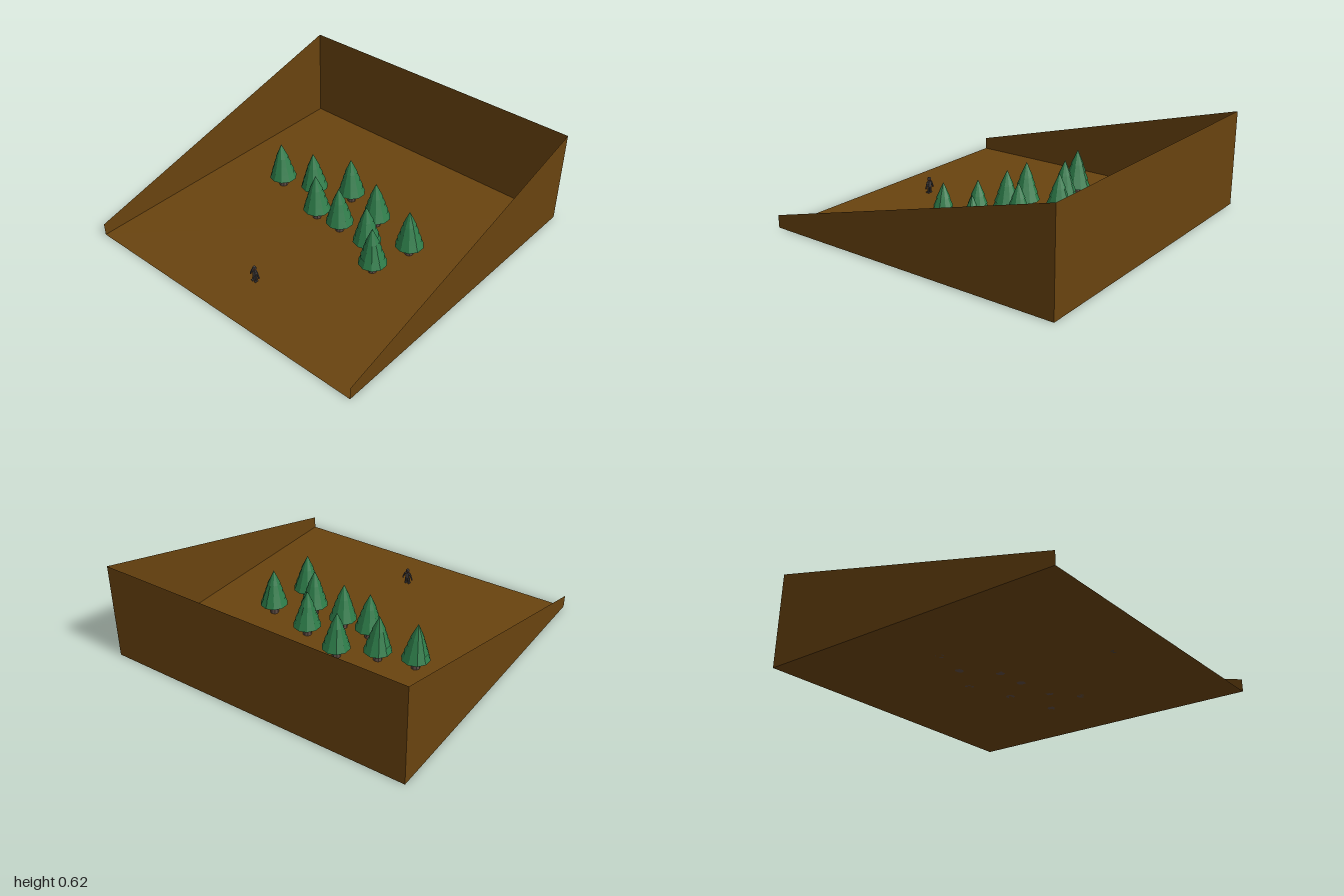
import * as THREE from 'three';

const mat = (name, color, extra = {}) => {
  const m = new THREE.MeshStandardMaterial({ color, flatShading: true, ...extra });
  m.name = name;
  return m;
};

export function createModel() {
  const earth = mat('earth brown', 0x69430f, { side: THREE.DoubleSide });
  const green = mat('pine green', 0x2c7a48);
  const bark = mat('bark', 0x5c4a42);
  const cloth = mat('dark cloth', 0x45403f);
  const skin = mat('skin', 0x60392c);

  const model = new THREE.Group();
  model.name = 'hillsideDiorama';
  const add = (parent, name, geo, material, x = 0, y = 0, z = 0) => {
    const mesh = new THREE.Mesh(geo, material);
    mesh.name = name;
    mesh.position.set(x, y, z);
    parent.add(mesh);
    return mesh;
  };

  // Open tray: floor, back wall and two sloping side walls
  add(model, 'floor', new THREE.PlaneGeometry(2, 2).rotateX(-Math.PI / 2), earth);
  add(model, 'backWall', new THREE.PlaneGeometry(2, 0.615), earth, 0, 0.3075, -1);
  const side = new THREE.Shape([[-1, 0], [1, 0], [1, 0.615], [-1, 0.08]].map(p => new THREE.Vector2(...p)));
  for (const s of [-1, 1]) {
    add(model, s > 0 ? 'leftWall' : 'rightWall', new THREE.ShapeGeometry(side).rotateY(Math.PI / 2), earth, s);
  }

  // Tiered pine foliage, leaning slightly towards the tip
  const profile = [[0, 0.078], [0.089, 0.068], [0.066, 0.122], [0.075, 0.115], [0.050, 0.175],
    [0.058, 0.168], [0.035, 0.225], [0.042, 0.218], [0, 0.312]].map(p => new THREE.Vector2(...p));
  const foliage = new THREE.LatheGeometry(profile, 10);
  const pos = foliage.attributes.position;
  for (let i = 0; i < pos.count; i++) {
    pos.setX(i, pos.getX(i) - 0.04 * (pos.getY(i) - 0.07));
  }
  const trunk = new THREE.CylinderGeometry(0.02, 0.028, 0.09, 8);

  const spots = [[-0.54, -0.12], [-0.31, -0.175], [-0.085, -0.285], [0.2, -0.19], [0.525, -0.105],
    [-0.135, -0.005], [0.06, 0], [0.305, 0.03], [0.46, 0.165]];
  for (const [x, z] of spots) {
    const tree = new THREE.Group();
    tree.name = 'pineTree';
    tree.position.set(x, 0, z);
    add(tree, 'trunk', trunk, bark, 0, 0.045, 0);
    add(tree, 'foliage', foliage, green);
    model.add(tree);
  }

  // Small standing figure
  const figure = new THREE.Group();
  figure.name = 'figure';
  figure.position.set(0, 0, 0.685);
  model.add(figure);
  add(figure, 'torso', new THREE.CylinderGeometry(0.02, 0.015, 0.04, 8).scale(1, 1, 0.6), cloth, 0, 0.06, 0);
  add(figure, 'head', new THREE.SphereGeometry(0.012, 8, 6), skin, 0, 0.092, 0);
  add(figure, 'hat', new THREE.CylinderGeometry(0.009, 0.013, 0.01, 8), cloth, 0, 0.102, 0);
  for (const s of [-1, 1]) {
    add(figure, 'leg', new THREE.CylinderGeometry(0.008, 0.007, 0.042, 6), cloth, s * 0.01, 0.021, 0);
    add(figure, 'foot', new THREE.BoxGeometry(0.012, 0.008, 0.022), cloth, s * 0.011, 0.004, 0.004);
    const arm = add(figure, 'arm', new THREE.CylinderGeometry(0.006, 0.005, 0.042, 6), cloth, s * 0.026, 0.058, 0);
    arm.rotation.z = s * 0.4;
    add(figure, 'hand', new THREE.SphereGeometry(0.006, 6, 5), skin, s * 0.034, 0.037, 0);
  }
  return model;
}
